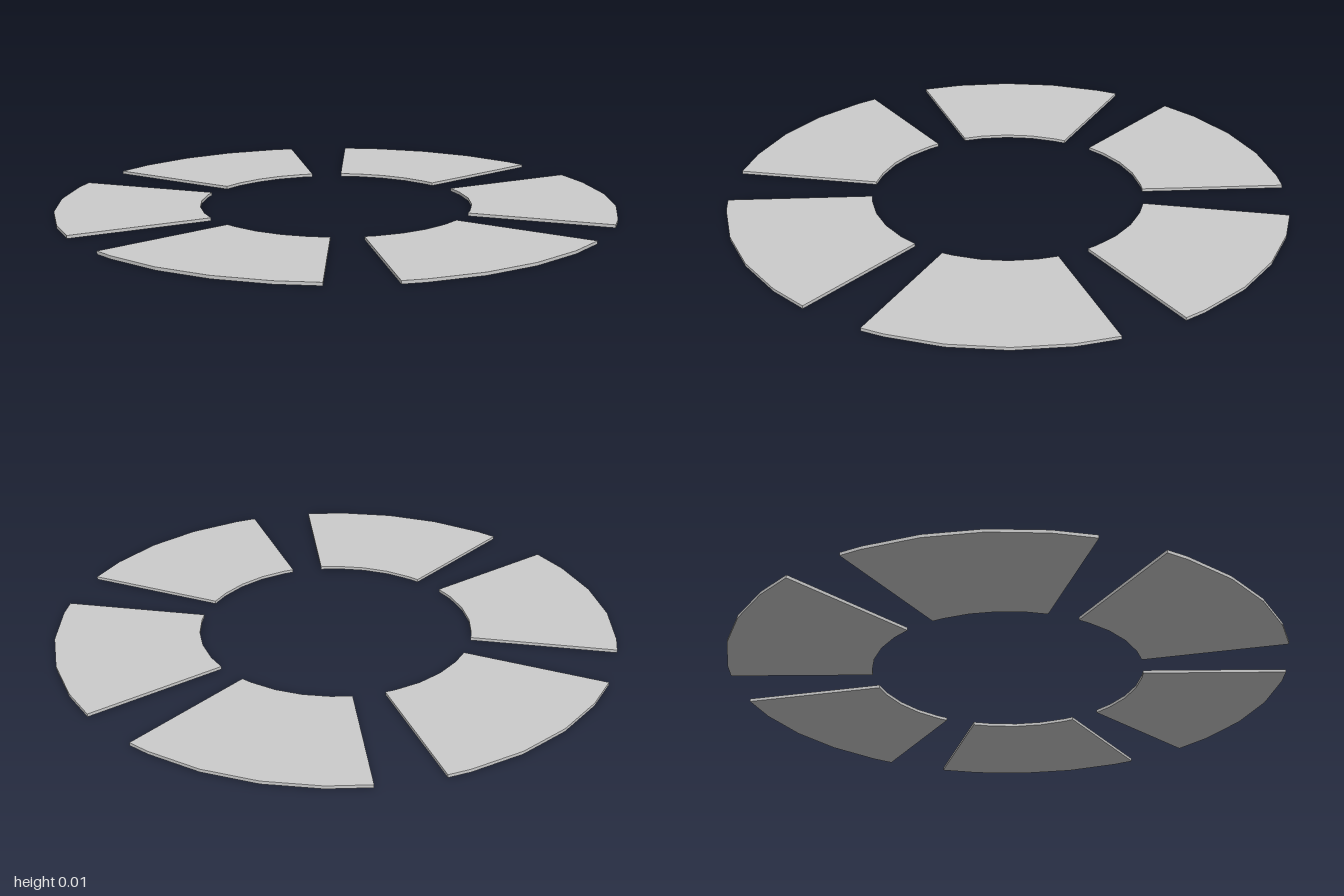
import * as THREE from 'three';

const INNER = 0.488, OUTER = 1.002, THICKNESS = 0.011, COUNT = 6;
// Facet angles (degrees) across one wedge, measured clockwise from its centre line
const ANGLES = [-23.4, -14.9, -3.65, 7.6, 18.85, 23.4];

export function createModel() {
  const ring = new THREE.Group();
  ring.name = 'segmentedRing';
  const material = new THREE.MeshStandardMaterial({ color: 0xcccccc, flatShading: true });

  // Outline of one wedge: outer arc, then inner arc back
  const arc = (radius) => ANGLES.map((deg) => {
    const a = THREE.MathUtils.degToRad(deg);
    return new THREE.Vector2(Math.sin(a) * radius, Math.cos(a) * radius);
  });
  const outline = new THREE.Shape([...arc(OUTER), ...arc(INNER).reverse()]);
  const geometry = new THREE.ExtrudeGeometry(outline, { depth: THICKNESS, bevelEnabled: false });
  geometry.rotateX(-Math.PI / 2); // lay flat on the ground

  // Six identical wedges around the centre
  for (let i = 0; i < COUNT; i++) {
    const wedge = new THREE.Mesh(geometry, material);
    wedge.name = `ringSegment${i + 1}`;
    wedge.rotation.y = (-i * 2 * Math.PI) / COUNT;
    ring.add(wedge);
  }
  return ring;
}
